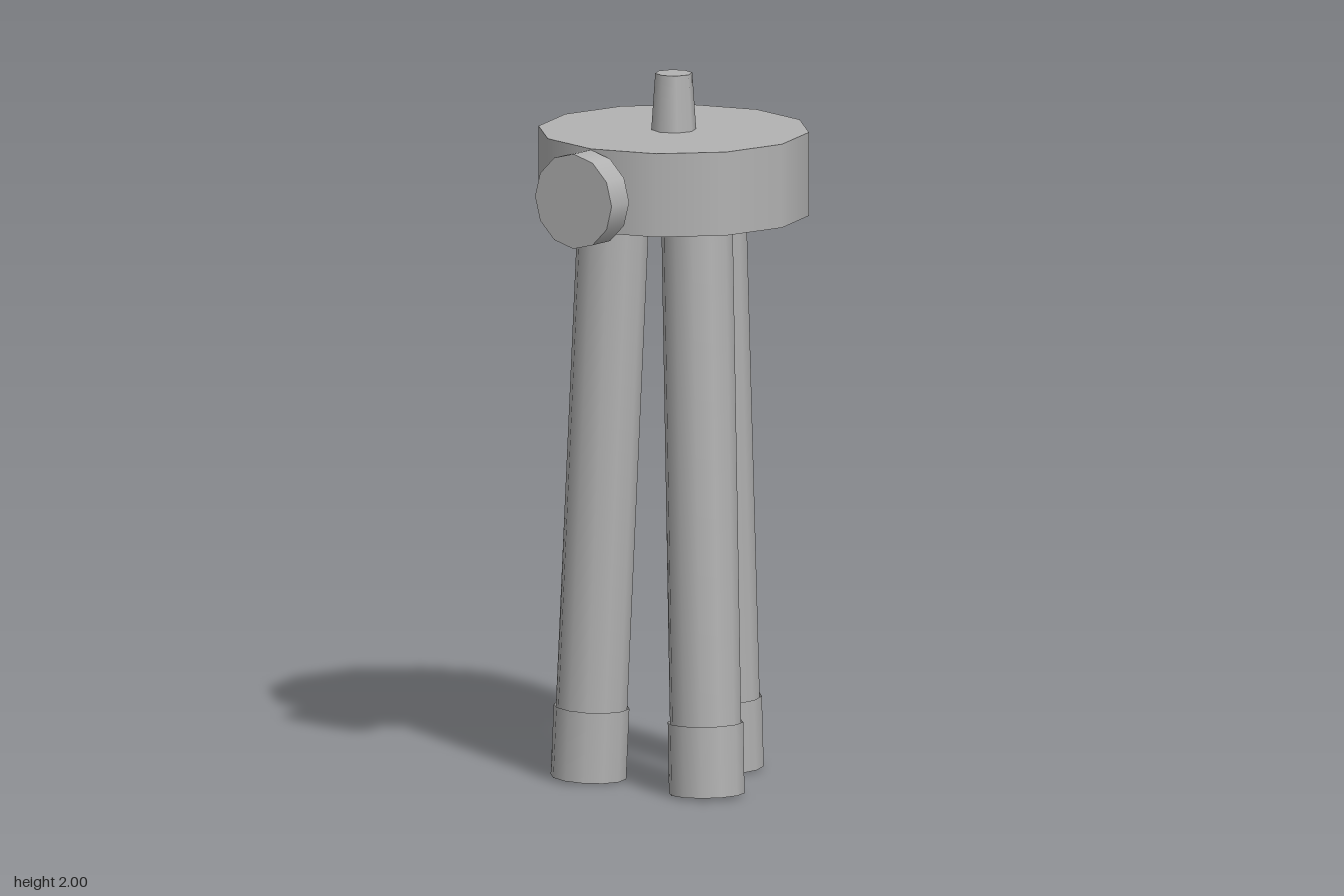
import * as THREE from 'three';

export function createModel() {
  const model = new THREE.Group();
  const grey = new THREE.MeshStandardMaterial({ color: 0xb2b2b2, side: THREE.DoubleSide });
  grey.name = 'grey';

  const add = (parent, name, geometry, x, y, z) => {
    const mesh = new THREE.Mesh(geometry, grey);
    mesh.name = name;
    mesh.position.set(x, y, z);
    parent.add(mesh);
    return mesh;
  };

  // Everything but the side knob is arranged around this axis
  const axisZ = -0.04;

  // Head plate and the tapered mounting stud on top
  add(model, 'headPlate', new THREE.CylinderGeometry(0.379, 0.379, 0.236, 12), 0, 1.723, axisZ);
  add(model, 'mountingStud', new THREE.CylinderGeometry(0.052, 0.063, 0.16, 8), 0, 1.92, axisZ);

  // Round knob on the front
  const knob = add(model, 'frontKnob', new THREE.CylinderGeometry(0.134, 0.134, 0.08, 12), 0, 1.704, 0.379);
  knob.rotation.x = Math.PI / 2;

  // Three splayed tubular legs, each with an open sleeve as its foot
  const tube = new THREE.CylinderGeometry(0.1, 0.1, 1.52, 12, 1, true);
  const sleeve = new THREE.CylinderGeometry(0.106, 0.106, 0.2, 12, 1, true);
  ['leftLeg', 'backLeg', 'rightLeg'].forEach((name, i) => {
    const turn = new THREE.Group();
    turn.name = name;
    turn.position.z = axisZ;
    turn.rotation.y = Math.PI / 3 + i * Math.PI * 2 / 3;
    const leg = new THREE.Group();
    leg.name = name + 'Tilt';
    leg.position.set(0, 0.005, 0.239);
    leg.rotation.x = -0.044;
    add(leg, 'legTube', tube, 0, 0.86, 0);
    add(leg, 'footSleeve', sleeve, 0, 0.1, 0);
    turn.add(leg);
    model.add(turn);
  });

  return model;
}
